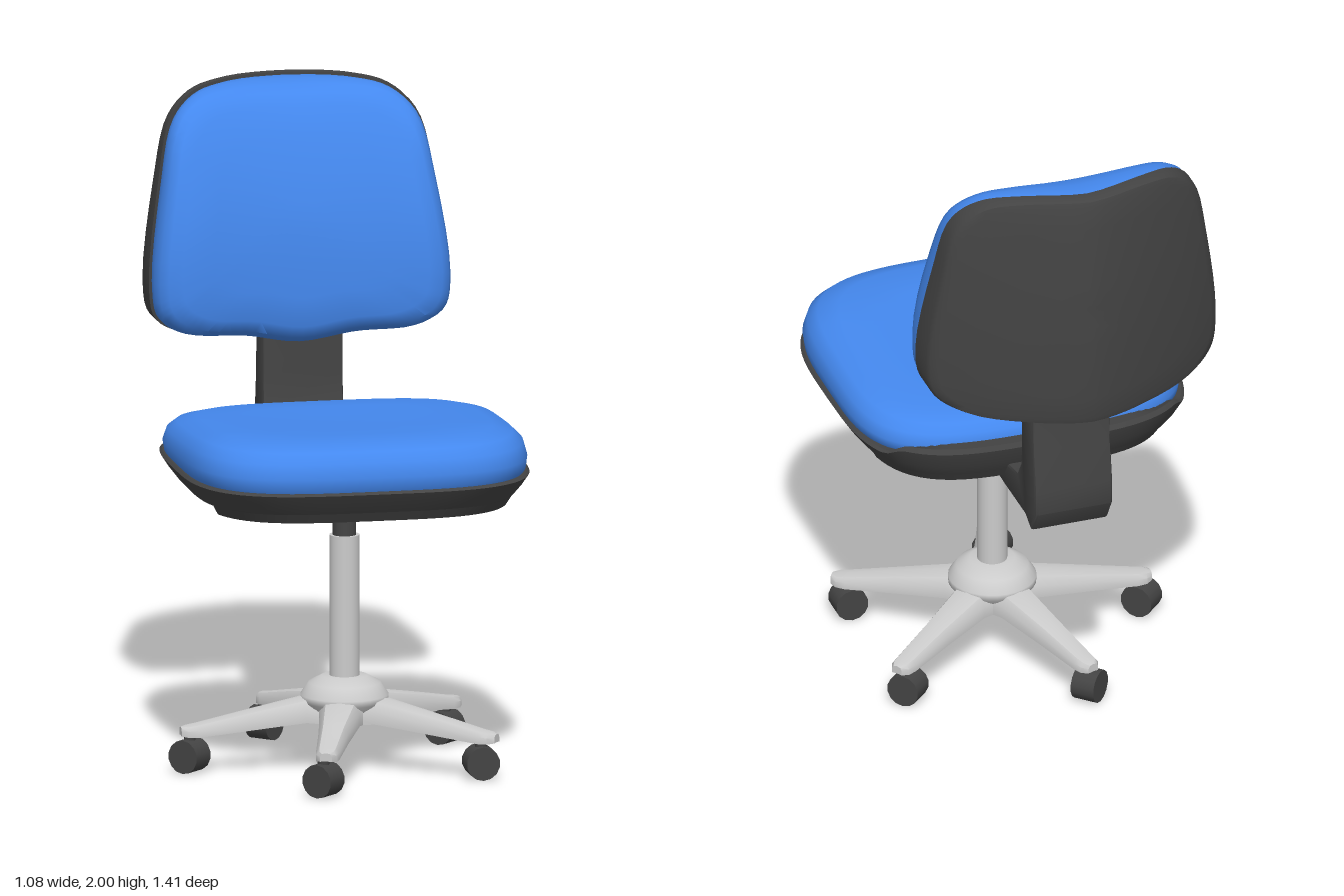
import * as THREE from 'three';
import { toCreasedNormals } from 'three/addons/utils/BufferGeometryUtils.js';

const blue = new THREE.MeshStandardMaterial({ color: 0x4488ee });
const dark = new THREE.MeshStandardMaterial({ color: 0x444444 });
const grey = new THREE.MeshStandardMaterial({ color: 0xcccccc });
const V = (x, y, z) => new THREE.Vector3(x, y, z);

function part(name, geometry, material, x = 0, y = 0, z = 0) {
  const mesh = new THREE.Mesh(geometry, material);
  mesh.name = name;
  mesh.position.set(x, y, z);
  return mesh;
}

// Skin a list of equal rings of points, closing both ends with a fan
function skin(rings, crease = 0.7) {
  const n = rings[0].length, pts = rings.flat(), tris = [];
  rings.slice(1).forEach((_, r) => {
    for (let i = 0; i < n; i++) {
      const a = r * n + i, b = r * n + (i + 1) % n;
      tris.push([a, b, b + n], [a, b + n, a + n]);
    }
  });
  for (const r of [0, rings.length - 1]) {
    const c = pts.length;
    pts.push(rings[r].reduce((s, p) => s.add(p), V(0, 0, 0)).divideScalar(n));
    for (let i = 0; i < n; i++) {
      const a = r * n + i, b = r * n + (i + 1) % n;
      tris.push(r ? [a, b, c] : [b, a, c]);
    }
  }
  // Turn the faces outward if the enclosed volume is negative
  const volume = tris.reduce((s, [a, b, c]) => s + pts[a].dot(V(0, 0, 0).crossVectors(pts[b], pts[c])), 0);
  if (volume < 0) tris.forEach(t => t.reverse());
  const g = new THREE.BufferGeometry().setFromPoints(pts);
  g.setIndex(tris.flat());
  return toCreasedNormals(g, crease);
}

const AXIS_Z = 0.165; // column position

// Rounded-square seat outline, scaled by s
function seatRing(s, height, rear = 1) {
  return Array.from({ length: 80 }, (_, i) => {
    const a = i / 80 * Math.PI * 2, c = Math.cos(a), d = Math.sin(a), h = 0.535 * s, e = 2 / 3.5;
    const x = h * Math.sign(c) * Math.abs(c) ** e;
    let z = AXIS_Z + h * Math.sign(d) * Math.abs(d) ** e;
    if (z < 0) z *= rear;
    return V(x, height(z), z);
  });
}

function makeSeat() {
  const seat = new THREE.Group();
  seat.name = 'seat';
  // Cushion, sinking slightly toward the rear
  const cushion = [[0.95, 0.94], [0.98, 0.965], [0.988, 1.0], [0.965, 1.045], [0.91, 1.075], [0.8, 1.093], [0.55, 1.092], [0.25, 1.085]]
    .map(([s, y]) => seatRing(s, z => y - 0.04 * Math.max(0, 0.4 - z) / 0.7 * (y - 0.94) / 0.15, 0.87));
  seat.add(part('seatCushion', skin(cushion), blue));

  // Shell, its rim rising behind the cushion
  const lift = z => 0.04 * THREE.MathUtils.smoothstep(-z, 0.21, 0.28);
  const shell = [[0.86, 0.95, 1], [0.985, 0.957, 1], [1, 0.95, 0.8], [0.965, 0.92, 0.2], [0.915, 0.885, 0]]
    .map(([s, y, k]) => seatRing(s, z => y + k * lift(z)));
  seat.add(part('seatShell', skin(shell), dark));

  // Thicker front and rear ends under the shell
  const zones = { frontUnderside: z => z > 0.42, rearUnderside: z => z < -0.08 };
  for (const [name, inside] of Object.entries(zones)) {
    const top = seatRing(0.915, () => 0.887), bottom = seatRing(0.88, () => 0.855);
    const keep = top.map(p => inside(p.z));
    seat.add(part(name, skin([top, bottom].map(r => r.filter((_, i) => keep[i])), 0.4), dark));
  }
  return seat;
}

// Backrest outline as offsets from its centre (x, y)
const BACK_X = -0.027, BACK_Y = 1.6;
function backOutline(bottom) {
  const half = [[0.2, 1.997], [0.31, 1.972], [0.385, 1.9], [0.43, 1.71], [0.468, 1.4], [0.448, 1.3], [0.36, 1.245], [0.18, 1.225]];
  const left = half.map(([x, y]) => V(-x, y, 0)).reverse();
  const loop = [V(0, 2, 0), ...half.map(([x, y]) => V(x, y, 0)), V(0, bottom, 0), ...left];
  return new THREE.CatmullRomCurve3(loop, true).getPoints(80).slice(0, 80);
}

function backRing(outline, s, depth) {
  return outline.map(p => {
    const x = p.x * s, y = BACK_Y + (p.y - BACK_Y) * s;
    return V(BACK_X + x, y, depth(x, y));
  });
}

function makeBackrest() {
  const back = new THREE.Group();
  back.name = 'backrest';
  const bend = x => 0.2 * (Math.abs(x) / 0.465) ** 1.5;
  const edge = (x, y) => -0.585 + bend(x) - 0.05 * Math.max(0, y - 1.35) / 0.65;
  const rear = (x, y) => -0.708 + bend(x) + 0.12 * (y - 1.55) ** 2;
  const front = (x, y) => -0.322 + 0.045 * Math.min(1, Math.abs(x) / 0.37) ** 2 - 0.46 * Math.max(0, y - 1.4) ** 2;

  // Curved rear shell
  const shellLine = backOutline(1.22);
  const shell = [[0.3, edge, 0], [0.65, edge, 0], [0.965, edge, 0], [1, edge, 0], [1, rear, 0.02], [0.985, rear, 0.004],
    [0.94, rear, 0], [0.75, rear, 0], [0.5, rear, 0], [0.25, rear, 0], [0.08, rear, 0]]
    .map(([s, f, d]) => backRing(shellLine, s, (x, y) => f(x, y) + d));
  back.add(part('backShell', skin(shell), dark));

  // Padded front, blended from the shell edge to the front face
  const padLine = backOutline(1.195);
  const pad = [[0.4, -0.05], [0.8, -0.05], [0.975, -0.05], [0.985, 0.15], [0.985, 0.45], [0.96, 0.76], [0.91, 0.93], [0.82, 1], [0.6, 1], [0.35, 1], [0.12, 1]]
    .map(([s, t]) => backRing(padLine, s, (x, y) => THREE.MathUtils.lerp(edge(x, y), front(x, y), t)));
  back.add(part('backCushion', skin(pad), blue));
  return back;
}

// L-shaped support joining seat and backrest, drawn in (z, y)
function makeSupport() {
  const outline = [[-0.08, 0.89], [-0.08, 0.845], [-0.15, 0.835], [-0.3, 0.828], [-0.5, 0.828], [-0.545, 0.805], [-0.585, 0.87],
    [-0.585, 0.95], [-0.565, 1.08], [-0.555, 1.27], [-0.475, 1.27], [-0.47, 1.1], [-0.465, 0.98], [-0.425, 0.92], [-0.34, 0.905]];
  const shape = new THREE.Shape(outline.map(([z, y]) => new THREE.Vector2(-z, y)));
  const g = new THREE.ExtrudeGeometry(shape, { depth: 0.23, bevelThickness: 0.01, bevelSize: 0.008, bevelSegments: 2 });
  g.translate(0, 0, -0.115).rotateY(Math.PI / 2);
  return part('backSupport', toCreasedNormals(g, 0.6), dark);
}

function makeBase() {
  const base = new THREE.Group();
  base.name = 'base';
  base.position.z = AXIS_Z;
  base.add(part('pistonRod', new THREE.CylinderGeometry(0.036, 0.036, 0.2, 24), dark, 0, 0.8, 0));
  base.add(part('column', new THREE.CylinderGeometry(0.046, 0.046, 0.46, 24), grey, 0, 0.49, 0));
  const dome = [[0, 0.13], [0.05, 0.135], [0.1, 0.165], [0.135, 0.205], [0.135, 0.225], [0.11, 0.262], [0.07, 0.283], [0, 0.285]];
  base.add(part('hub', new THREE.LatheGeometry(dome.map(p => new THREE.Vector2(...p)), 30), grey));

  // Tapered arm along +x: distance, half width, bottom, top
  const arm = skin([[0.02, 0.08, 0.14, 0.225], [0.13, 0.062, 0.15, 0.222], [0.3, 0.046, 0.13, 0.187], [0.46, 0.036, 0.112, 0.152], [0.49, 0.032, 0.112, 0.147], [0.51, 0.018, 0.115, 0.142]]
    .map(([x, w, b, t]) => [[-1, 0], [-1, 0.55], [-0.7, 0.9], [0, 1], [0.7, 0.9], [1, 0.55], [1, 0], [0, 0.05]]
      .map(([k, h]) => V(x, THREE.MathUtils.lerp(b, t, h), k * w))));
  // Each castor has swivelled its own way
  const swivel = [0.25, 0.25, 0.5, 0.25, -0.25];
  swivel.forEach((turn, i) => {
    const angle = Math.PI * (1 + i * 0.4);
    const spoke = part('baseArm', arm, grey);
    spoke.rotation.y = angle;
    const castor = new THREE.Group();
    castor.name = 'castor';
    castor.position.set(Math.cos(angle) * 0.47 - 0.012, 0, -Math.sin(angle) * 0.47);
    const wheelShape = new THREE.CylinderGeometry(0.052, 0.052, 0.077, 14).rotateX(Math.PI / 2).rotateY(Math.PI * (turn + 0.5));
    castor.add(part('wheel', wheelShape, dark, 0, 0.052, 0));
    castor.add(part('castorStem', new THREE.CylinderGeometry(0.018, 0.018, 0.05, 12), dark, 0, 0.105, 0));
    base.add(spoke, castor);
  });
  return base;
}

export function createModel() {
  const chair = new THREE.Group();
  chair.name = 'officeChair';
  chair.add(makeSeat(), makeBackrest(), makeSupport(), makeBase());
  return chair;
}
